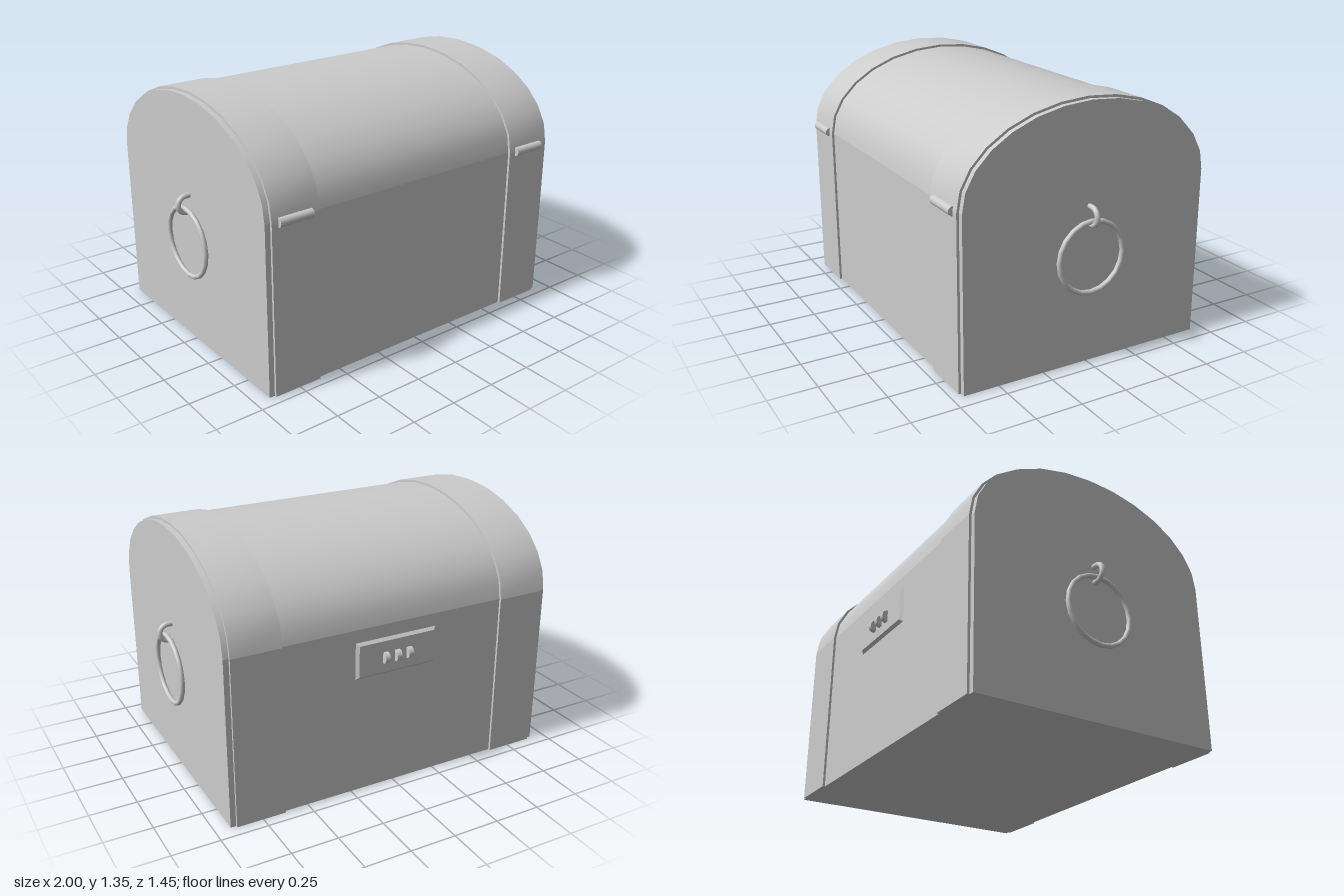
import * as THREE from 'three';
import { toCreasedNormals } from 'three/addons/utils/BufferGeometryUtils.js';

const WALL = 0.9;      // height of the straight walls
const ZC = 0.006;      // middle of the chest in z
const DEPTH = 0.684, RISE = 0.437, LIP = 0.013;
const material = new THREE.MeshStandardMaterial({ color: 0xcccccc });

function add(parent, name, geometry, x = 0, y = 0, z = 0) {
  const mesh = new THREE.Mesh(geometry, material);
  mesh.name = name;
  mesh.position.set(x, y, z);
  parent.add(mesh);
  return mesh;
}

// Half ellipse in 14 steps, from +x over the top to -x
function archPoints(rx, ry) {
  return Array.from({ length: 15 }, (_, i) => {
    const a = (i / 14) * Math.PI;
    return new THREE.Vector2(Math.cos(a) * rx, Math.sin(a) * ry);
  });
}

// Extrude an arch outline along the chest's x axis, centred
function archGeometry(points, width) {
  const g = new THREE.ExtrudeGeometry(new THREE.Shape(points), { depth: width, bevelEnabled: false });
  g.translate(0, 0, -width / 2);
  g.rotateY(Math.PI / 2);
  return toCreasedNormals(g, 0.6);
}

// Raised strap running up both walls and over the lid
function makeBand(side) {
  const band = new THREE.Group();
  band.name = side > 0 ? 'leftBand' : 'rightBand';
  const width = 0.262;
  const outline = [
    ...archPoints(DEPTH + LIP, RISE + LIP),
    ...archPoints(DEPTH, RISE).reverse(),
  ];
  add(band, 'bandArch', archGeometry(outline, width), 0, WALL, 0);
  for (const s of [1, -1]) {
    add(band, 'bandStrap', new THREE.BoxGeometry(width, WALL, LIP), 0, WALL / 2, s * (DEPTH + LIP / 2));
  }
  band.position.set(side * 0.76, 0, ZC);
  return band;
}

// Hanging ring and the bent eyelet that carries it
function makeHandle(side) {
  const handle = new THREE.Group();
  handle.name = side > 0 ? 'leftHandle' : 'rightHandle';
  const ring = add(handle, 'handleRing', new THREE.TorusGeometry(0.184, 0.013, 10, 20), 0.947, 0.57, 0);
  ring.rotation.y = Math.PI / 2;

  const R = 0.044, tube = 0.014;
  const eyelet = add(handle, 'eyeletBend', new THREE.TorusGeometry(R, tube, 10, 12, Math.PI), 0.942, 0.777, 0);
  eyelet.rotation.z = -Math.PI / 2;
  for (const s of [1, -1]) {
    const stub = add(handle, 'eyeletStub', new THREE.CylinderGeometry(tube, tube, 0.04, 10), 0.922, 0.777 + s * R, 0);
    stub.rotation.z = Math.PI / 2;
  }
  handle.position.z = ZC;
  if (side < 0) handle.rotation.y = Math.PI;
  return handle;
}

// Plate with sloping edges and three number wheels, on the back wall
function makeLock() {
  const lock = new THREE.Group();
  lock.name = 'lock';
  const t = 0.015, bevel = 0.014;
  const plate = new THREE.BoxGeometry(0.46, 0.196, t);
  const p = plate.attributes.position;
  for (let i = 0; i < p.count; i++) {
    if (p.getZ(i) < 0) {
      p.setX(i, p.getX(i) - Math.sign(p.getX(i)) * bevel);
      p.setY(i, p.getY(i) - Math.sign(p.getY(i)) * bevel);
    }
  }
  add(lock, 'lockPlate', toCreasedNormals(plate, 0.3), 0, 0, -t / 2);
  for (const x of [-0.068, 0, 0.068]) {
    const wheel = add(lock, 'lockWheel', new THREE.CylinderGeometry(0.03, 0.03, 0.028, 16), x, -0.005, -t);
    wheel.rotation.z = Math.PI / 2;
  }
  lock.position.set(0, 0.733, -DEPTH + ZC);
  return lock;
}

export function createModel() {
  const chest = new THREE.Group();
  chest.name = 'chest';

  // Box and domed lid
  add(chest, 'body', new THREE.BoxGeometry(1.84, WALL, DEPTH * 2), 0, WALL / 2, ZC);
  add(chest, 'domedLid', archGeometry(archPoints(DEPTH, RISE), 1.84), 0, WALL, ZC);

  for (const side of [1, -1]) {
    chest.add(makeBand(side), makeHandle(side));
    const hinge = add(chest, side > 0 ? 'leftHinge' : 'rightHinge',
      new THREE.CylinderGeometry(0.024, 0.024, 0.185, 16), side * 0.762, WALL, 0.701);
    hinge.rotation.z = Math.PI / 2;
  }
  chest.add(makeLock());
  return chest;
}
